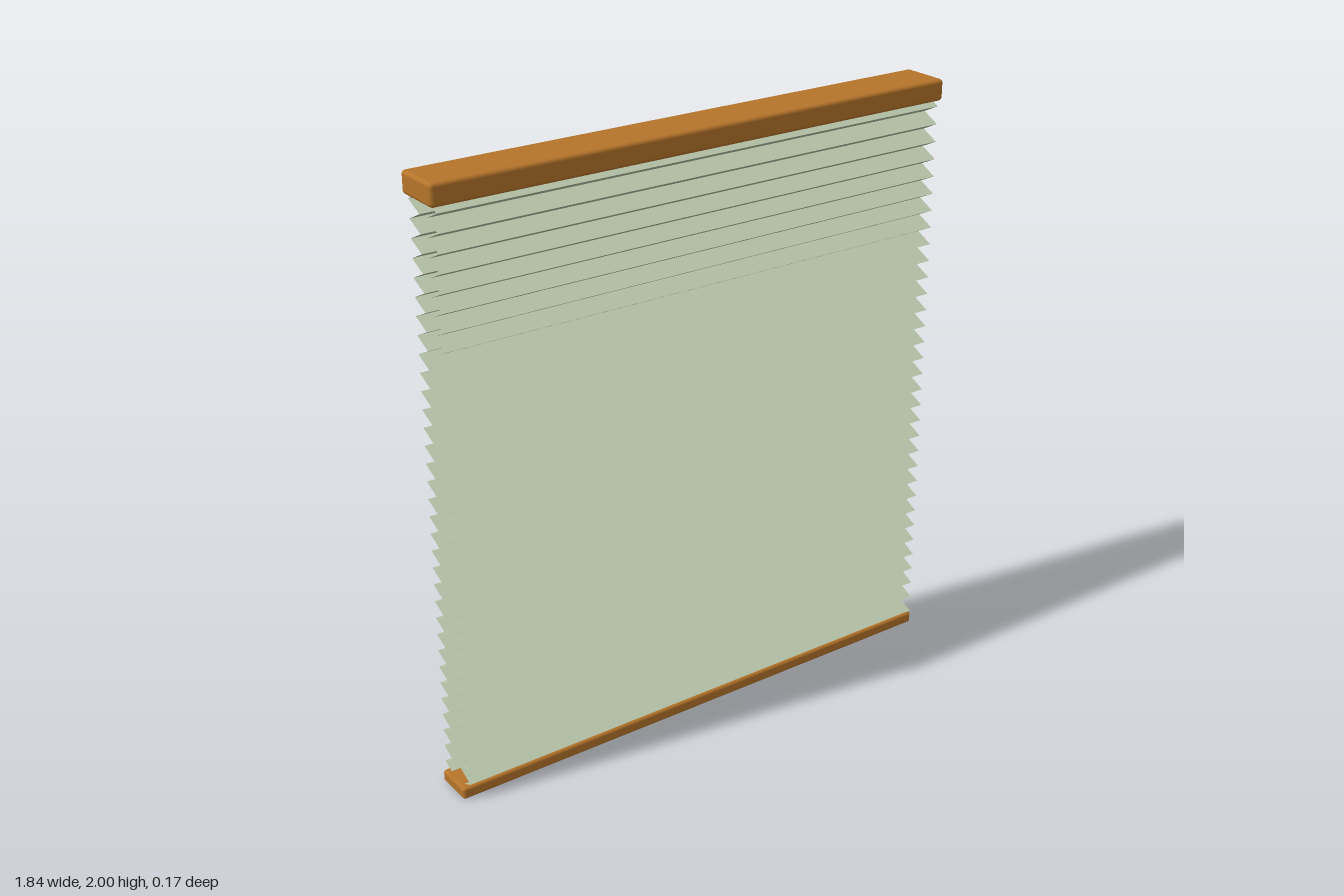
import * as THREE from 'three';
import { RoundedBoxGeometry } from 'three/addons/geometries/RoundedBoxGeometry.js';

const wood = new THREE.MeshStandardMaterial({ color: 0xb5742a });
wood.name = 'wood';
const fabric = new THREE.MeshStandardMaterial({ color: 0xb7c4a8, side: THREE.DoubleSide });
fabric.name = 'sage fabric';

const PLEATS = 33, BOTTOM = 0.031, TOP = 1.943, HALF_WIDTH = 0.903;
const TIP = 0.08, VALLEY = 0.02;

function rail(name, depth, y0, y1, radius) {
  const mesh = new THREE.Mesh(new RoundedBoxGeometry(1.842, y1 - y0, depth, 3, radius), wood);
  mesh.name = name;
  mesh.position.y = (y0 + y1) / 2;
  return mesh;
}

// Zigzag sheet: folds alternate between valley and tip, with sharp creases
function pleatedSheet(name) {
  const folds = PLEATS * 2;
  const geo = new THREE.PlaneGeometry(HALF_WIDTH * 2, 1, 1, folds);
  const pos = geo.attributes.position;
  for (let i = 0; i < pos.count; i++) {
    const row = Math.floor(i / 2);
    pos.setY(i, TOP + (BOTTOM - TOP) * row / folds);
    pos.setZ(i, row % 2 ? TIP : VALLEY);
  }
  const sharp = geo.toNonIndexed();
  sharp.computeVertexNormals();
  const mesh = new THREE.Mesh(sharp, fabric);
  mesh.name = name;
  return mesh;
}

export function createModel() {
  const blind = new THREE.Group();
  blind.name = 'cellularBlind';

  // Wooden rails
  blind.add(rail('headRail', 0.166, 1.93, 2, 0.012));
  blind.add(rail('bottomRail', 0.132, 0, 0.041, 0.01));

  // Front and back pleated sheets forming the cells
  const front = pleatedSheet('frontPleats');
  const back = pleatedSheet('backPleats');
  back.rotation.y = Math.PI;
  blind.add(front, back);
  return blind;
}
